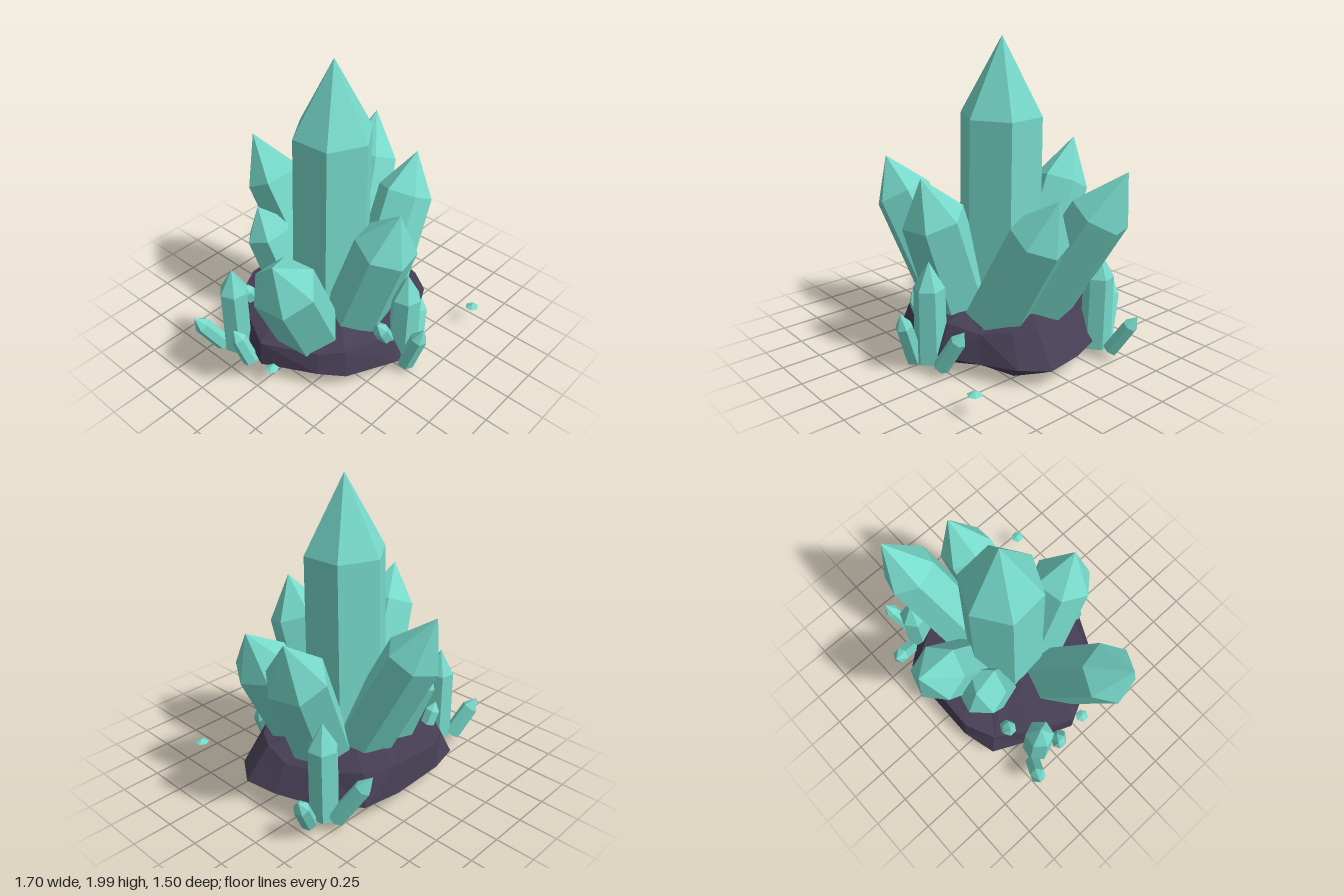
import * as THREE from 'three';

const crystalMat = new THREE.MeshStandardMaterial({ color: 0x76d9ca });
crystalMat.name = 'aqua crystal';
const rockMat = new THREE.MeshStandardMaterial({ color: 0x463e54 });
rockMat.name = 'dark rock';

// Splits shared corners so every facet is flat
function faceted(geometry) {
  const g = geometry.toNonIndexed();
  g.computeVertexNormals();
  return g;
}

// Six-sided prism with a pointed end, running from base to tip
function crystal(name, base, tip, radius, spin = 0) {
  const from = new THREE.Vector3(...base);
  const axis = new THREE.Vector3(...tip).sub(from);
  const length = axis.length();
  const profile = [[0, 0], [radius * 1.05, 0], [radius, length * 0.74], [0, length]]
    .map(([r, y]) => new THREE.Vector2(r, y));
  const geometry = new THREE.LatheGeometry(profile, 6);
  geometry.rotateY(THREE.MathUtils.degToRad(spin));
  const mesh = new THREE.Mesh(faceted(geometry), crystalMat);
  mesh.name = name;
  mesh.position.copy(from);
  mesh.quaternion.setFromUnitVectors(new THREE.Vector3(0, 1, 0), axis.normalize());
  return mesh;
}

// Flattened six-sided loose chip
function chip(x, y, z) {
  const profile = [[0, -0.024], [0.046, 0], [0, 0.024]].map(([r, h]) => new THREE.Vector2(r, h));
  const mesh = new THREE.Mesh(faceted(new THREE.LatheGeometry(profile, 6)), crystalMat);
  mesh.name = 'looseChip';
  mesh.position.set(x, y, z);
  return mesh;
}

// Irregular rock: rings that follow one outline, from underside to top
function rock() {
  // x, z, scale of the upper rim, height of the upper rim
  const outline = [
    [-0.06, 0.6, 0.86, 0.29], [0.19, 0.55, 0.84, 0.33], [0.4, 0.41, 0.9, 0.3],
    [0.62, 0.3, 0.8, 0.33], [0.735, 0.135, 0.78, 0.34], [0.715, -0.1, 0.84, 0.3],
    [0.6, -0.39, 0.86, 0.31], [0.43, -0.6, 0.9, 0.34], [0.17, -0.635, 0.95, 0.32],
    [-0.2, -0.64, 0.96, 0.3], [-0.43, -0.58, 0.9, 0.28], [-0.55, -0.34, 0.94, 0.3],
    [-0.67, -0.04, 0.99, 0.31], [-0.5, 0.3, 0.94, 0.28], [-0.385, 0.44, 0.9, 0.29],
  ];
  const n = outline.length;
  const rings = [
    (x, z) => [x * 0.55, 0.012, z * 0.55],
    (x, z, s, h, i) => [x * 0.88, 0.05 + 0.012 * (i % 3), z * 0.88],
    (x, z, s, h, i) => [x, 0.115 + 0.012 * (i % 2), z],
    (x, z, s, h) => [x * s, h - 0.02, z * s],
    (x, z, s, h, i) => [x * 0.5, 0.33 + 0.015 * (i % 3), z * 0.5],
  ];
  const points = [];
  rings.forEach((ring) => outline.forEach((o, i) => points.push(...ring(...o, i))));
  const bottom = points.length / 3;
  points.push(0, 0.006, 0, 0, 0.36, 0);
  const index = [];
  for (let i = 0; i < n; i++) {
    const j = (i + 1) % n;
    for (let r = 0; r < rings.length - 1; r++) {
      const a = r * n + i, b = r * n + j, c = a + n, d = b + n;
      if ((i + r) % 2) index.push(a, b, d, a, d, c);
      else index.push(a, b, c, b, d, c);
    }
    const top = (rings.length - 1) * n;
    index.push(bottom, j, i, bottom + 1, top + i, top + j);
  }
  const geometry = new THREE.BufferGeometry();
  geometry.setAttribute('position', new THREE.Float32BufferAttribute(points, 3));
  geometry.setIndex(index);
  const mesh = new THREE.Mesh(faceted(geometry), rockMat);
  mesh.name = 'rockBase';
  return mesh;
}

export function createModel() {
  const model = new THREE.Group();
  model.name = 'crystalCluster';
  model.add(rock());

  // Large crystals rising from the rock
  const large = [
    ['centreCrystal', [0.02, 0.15, -0.06], [0.05, 2, -0.055], 0.262, 4],
    ['frontCrystal', [-0.04, 0.2, 0.18], [-0.01, 1.2, 0.52], 0.2, -20],
    ['rightCrystal', [-0.31, 0.2, 0.07], [-0.8, 1.145, 0.26], 0.2, 10],
    ['leftCrystal', [0.2, 0.2, 0.16], [0.72, 1.15, 0.09], 0.185, 25],
    ['backLeftCrystal', [0.27, 0.2, -0.1], [0.825, 1.262, -0.355], 0.19, 20],
    ['backCrystal', [0.11, 0.2, -0.21], [0, 1.272, -0.74], 0.18, 10],
    ['backRightCrystal', [-0.1, 0.2, -0.25], [-0.21, 0.9, -0.5], 0.16, 15],
  ];
  large.forEach((c) => model.add(crystal(...c)));

  // Small crystals gathered around the edge
  const small = [
    [[0.07, 0.06, 0.53], [0.08, 0.71, 0.54], 0.098, 15],
    [[0.01, 0.06, 0.61], [0.03, 0.4, 0.72], 0.055, 10],
    [[0.2, 0.06, 0.55], [0.34, 0.325, 0.475], 0.05, 0],
    [[0.58, 0.06, -0.4], [0.59, 0.7, -0.4], 0.095, 10],
    [[0.71, 0.07, -0.4], [0.855, 0.325, -0.47], 0.05, 20],
    [[0.57, 0.07, -0.49], [0.46, 0.4, -0.68], 0.055, 0],
    [[-0.61, 0.07, -0.32], [-0.62, 0.71, -0.32], 0.095, 20],
    [[-0.67, 0.07, -0.41], [-0.82, 0.325, -0.5], 0.055, 10],
    [[-0.66, 0.07, -0.15], [-0.72, 0.32, -0.23], 0.052, 0],
    [[-0.02, 0.2, 0.48], [-0.165, 0.435, 0.5], 0.05, 15],
    [[-0.36, 0.2, -0.4], [-0.45, 0.42, -0.425], 0.05, 0],
  ];
  small.forEach((c) => model.add(crystal('smallCrystal', ...c)));

  // Loose chips
  model.add(chip(0.68, 0.14, 0.67), chip(-0.67, 0.14, 0.06));
  return model;
}
